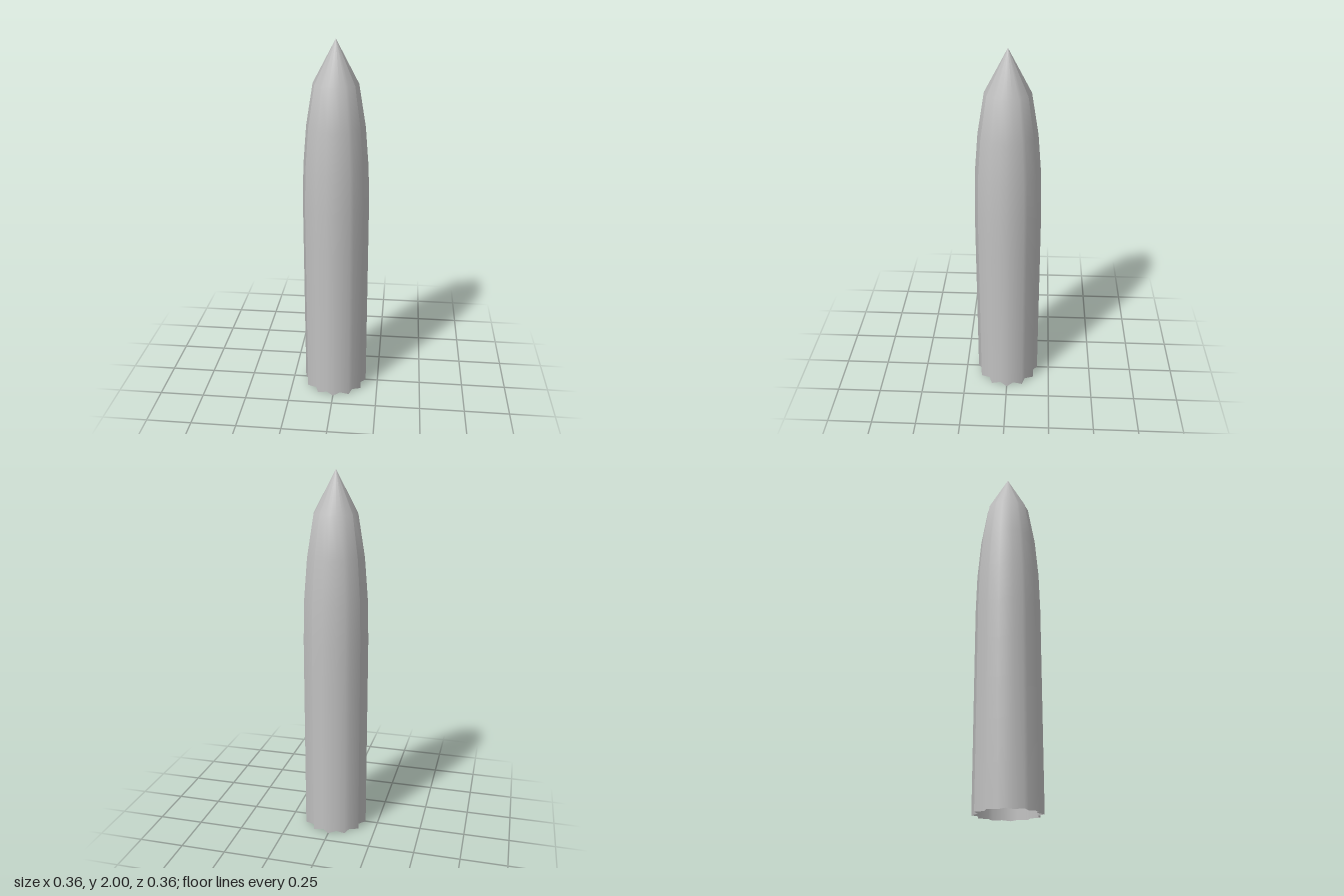
import * as THREE from 'three';

const RIDGES = 12, RINGS = 9, HEIGHT = 2, RADIUS = 0.18, VALLEY = 0.15;

export function createModel() {
  const group = new THREE.Group();
  group.name = 'flutedSpire';

  const grey = new THREE.MeshStandardMaterial({ color: 0xc0c0c0, side: THREE.DoubleSide });
  grey.name = 'grey';

  // Profile: straight shaft, then an elliptical taper to the tip
  const profile = [];
  for (let i = 0; i <= RINGS; i++) {
    const u = Math.max(0, (i - 5) / (RINGS - 5));
    profile.push(new THREE.Vector2(RADIUS * Math.sqrt(1 - u * u), (HEIGHT * i) / RINGS));
  }

  // Open-bottomed column; every second meridian is pulled in to form the flutes
  const geometry = new THREE.LatheGeometry(profile, RIDGES * 2);
  const position = geometry.attributes.position;
  for (let i = 0; i < position.count; i++) {
    const meridian = Math.floor(i / profile.length);
    if (meridian % 2 === 0) continue;
    const k = VALLEY / RADIUS;
    position.setX(i, position.getX(i) * k);
    position.setZ(i, position.getZ(i) * k);
  }

  const column = new THREE.Mesh(geometry, grey);
  column.name = 'flutedColumn';
  group.add(column);
  return group;
}
